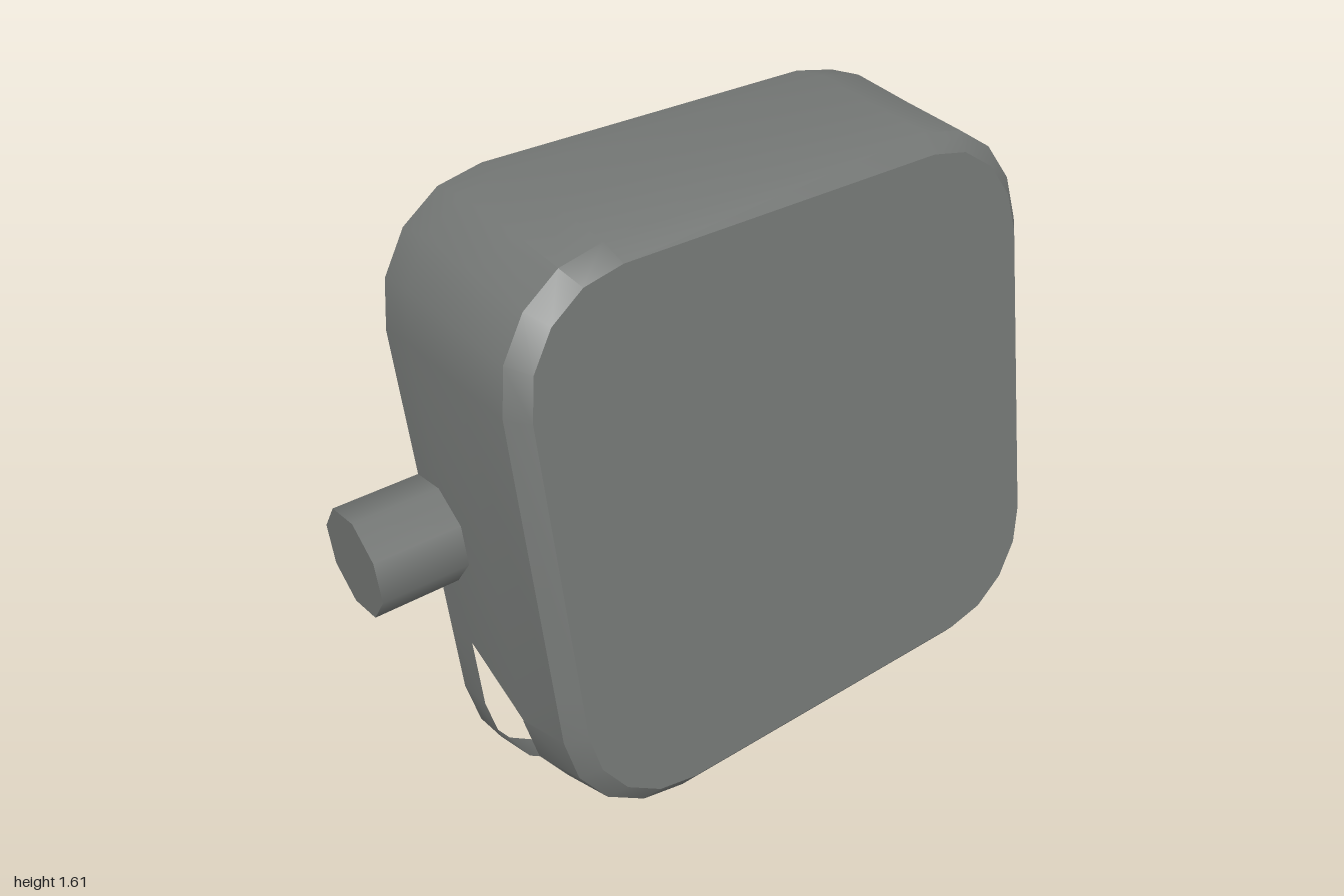
import * as THREE from 'three';
import { toCreasedNormals } from 'three/addons/utils/BufferGeometryUtils.js';

const material = new THREE.MeshStandardMaterial({ color: 0x727573, side: THREE.DoubleSide });

// Rounded rectangle, counterclockwise from the right-hand notch point at height e
function ring(hw, hh, r, e) {
  const pts = [[hw, e]];
  [[1, 1], [-1, 1], [-1, -1], [1, -1]].forEach(([sx, sy], k) => {
    if (k === 2) pts.push([-hw, e]);
    for (let i = 0; i <= 4; i++) {
      const a = (k + i / 4) * Math.PI / 2;
      pts.push([sx * (hw - r) + r * Math.cos(a), sy * (hh - r) + r * Math.sin(a)]);
    }
  });
  return pts;
}

// Cross-sections from the front plate to the rear rim: depth and outline
const sections = [
  { z: 0.397, pts: ring(0.72, 0.678, 0.27, -0.311) },
  { z: 0.354, pts: ring(0.765, 0.721, 0.3, -0.311) },
  { z: 0.172, pts: ring(0.772, 0.764, 0.31, -0.448) },
  { z: -0.017, pts: ring(0.78, 0.807, 0.31, -0.311) },
  { z: -0.122, pts: ring(0.78, 0.807, 0.31, -0.311) },
];

// Joins neighbouring sections; skip(i, j) leaves panels open
function loft(first, last, skip) {
  const pos = [];
  for (let i = first; i < last; i++) {
    const n = sections[i].pts.length;
    const at = (s, j) => [...sections[s].pts[j % n], sections[s].z];
    for (let j = 0; j < n; j++) {
      if (skip(i, j)) continue;
      const a = at(i, j), b = at(i, j + 1), c = at(i + 1, j), d = at(i + 1, j + 1);
      pos.push(...a, ...c, ...b, ...b, ...c, ...d);
    }
  }
  const g = new THREE.BufferGeometry();
  g.setAttribute('position', new THREE.Float32BufferAttribute(pos, 3));
  return toCreasedNormals(g, 0.65);
}

function add(parent, name, geometry) {
  const mesh = new THREE.Mesh(geometry, material);
  mesh.name = name;
  parent.add(mesh);
  return mesh;
}

export function createModel() {
  const model = new THREE.Group();
  model.name = 'faceShield';

  // Whole shield leans back
  const shield = new THREE.Group();
  shield.name = 'tiltedShield';
  shield.rotation.x = -0.152;
  shield.position.set(0, 0.815, -0.126);
  model.add(shield);

  // Flat front plate
  const outline = new THREE.Shape(sections[0].pts.map(([x, y]) => new THREE.Vector2(x, y)));
  add(shield, 'frontPlate', new THREE.ShapeGeometry(outline)).position.z = sections[0].z;

  // Bevel, side walls and rear rim, with an opening above the chin strap
  add(shield, 'shellAndChinStrap', loft(0, 4, (i, j) => i === 2 && j >= 11));

  // Octagonal side knobs, open towards the inside
  const inner = 0.775, outer = 1, radius = 0.137;
  for (const side of [1, -1]) {
    const knob = new THREE.Group();
    knob.name = side > 0 ? 'leftKnob' : 'rightKnob';
    knob.position.set(0, -0.002, -0.07);
    shield.add(knob);
    const barrel = new THREE.CylinderGeometry(radius, radius, outer - inner, 8, 1, true, Math.PI / 8);
    barrel.rotateZ(Math.PI / 2);
    add(knob, 'knobBarrel', barrel).position.x = side * (inner + outer) / 2;
    const cap = new THREE.CircleGeometry(radius, 8, Math.PI / 8);
    cap.rotateY(side * Math.PI / 2);
    add(knob, 'knobCap', cap).position.x = side * outer;
  }
  return model;
}
